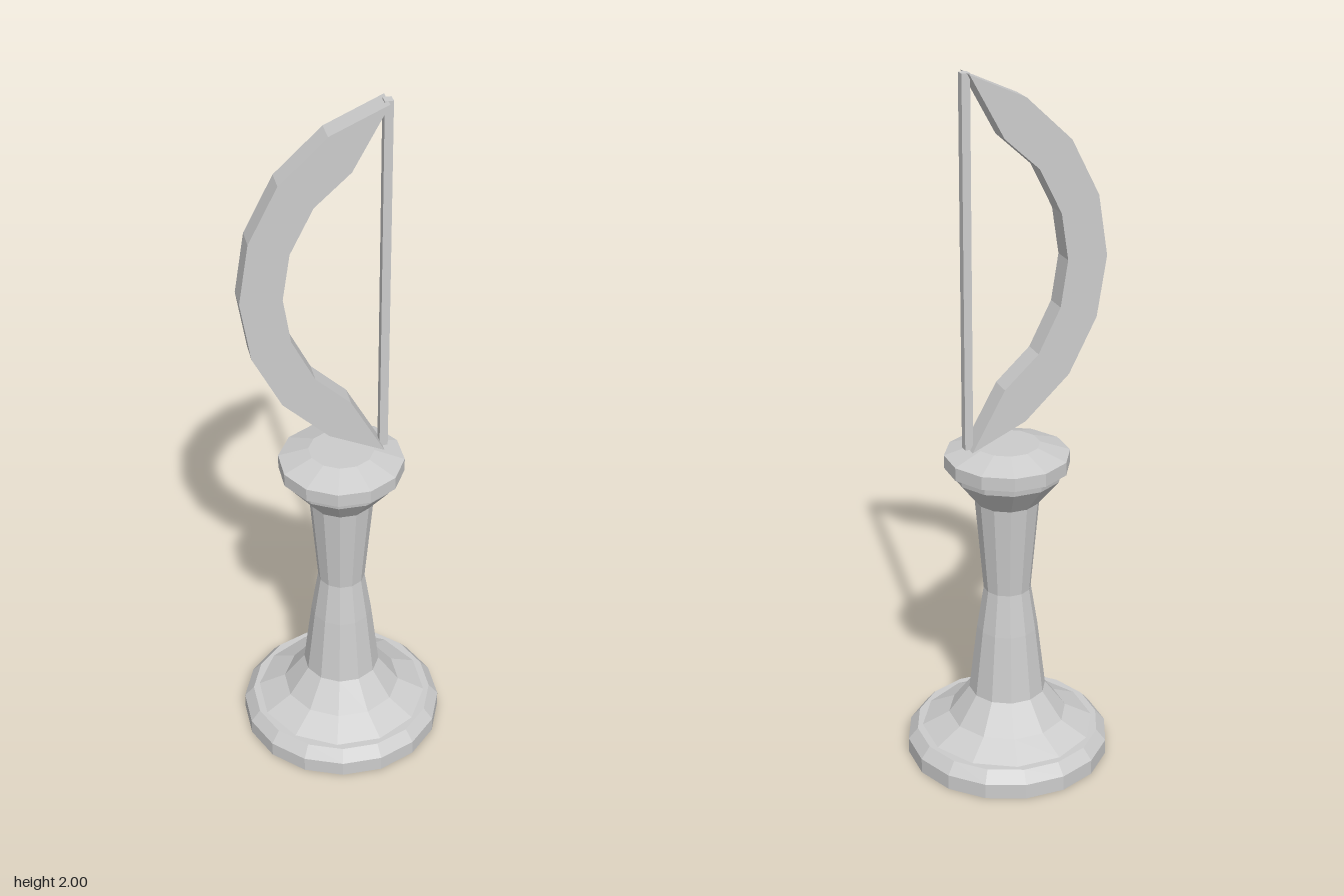
import * as THREE from 'three';

export function createModel() {
  const model = new THREE.Group();
  const grey = new THREE.MeshStandardMaterial({ color: 0xcccccc });
  grey.name = 'plain grey';
  grey.flatShading = true;

  const add = (name, geometry) => {
    const mesh = new THREE.Mesh(geometry, grey);
    mesh.name = name;
    model.add(mesh);
    return mesh;
  };

  // Faceted turning with a flat side to the front; radii are measured to the flats
  const turned = (name, sides, profile) => {
    const k = 1 / Math.cos(Math.PI / sides);
    const points = profile.map(([r, y]) => new THREE.Vector2(r * k, y));
    return add(name, new THREE.LatheGeometry(points, sides, Math.PI / sides));
  };

  // Round foot
  turned('base', 16, [[0, 0], [0.287, 0], [0.287, 0.045], [0.26, 0.078], [0, 0.078]]);

  // Waisted column with flared foot
  turned('column', 12, [
    [0.24, 0.078], [0.165, 0.118], [0.107, 0.2], [0.084, 0.4], [0.065, 0.525],
    [0.088, 0.8], [0.148, 0.877], [0.152, 0.905],
  ]);

  // Bevelled cap
  turned('cap', 12, [[0, 0.902], [0.169, 0.902], [0.169, 0.94], [0.088, 0.968], [0, 0.968]]);

  // Crescent bow, extruded across z
  const outer = [
    [0.114, 2], [-0.04, 1.93], [-0.167, 1.81], [-0.246, 1.655], [-0.273, 1.485],
    [-0.246, 1.315], [-0.167, 1.16], [-0.04, 1.04], [0.114, 0.97],
  ];
  const inner = [
    [0.02, 1.14], [-0.077, 1.23], [-0.14, 1.355], [-0.16, 1.485],
    [-0.14, 1.615], [-0.077, 1.74], [0.02, 1.828],
  ];
  const crescent = new THREE.Shape([...outer, ...inner].map(([x, y]) => new THREE.Vector2(x, y)));
  const bow = add('bow', new THREE.ExtrudeGeometry(crescent, { depth: 0.066, bevelEnabled: false }));
  bow.position.z = -0.034;

  // Straight string joining the tips
  const string = add('bowString', new THREE.BoxGeometry(0.023, 1.028, 0.026));
  string.position.set(0.1165, 1.486, -0.001);

  return model;
}
